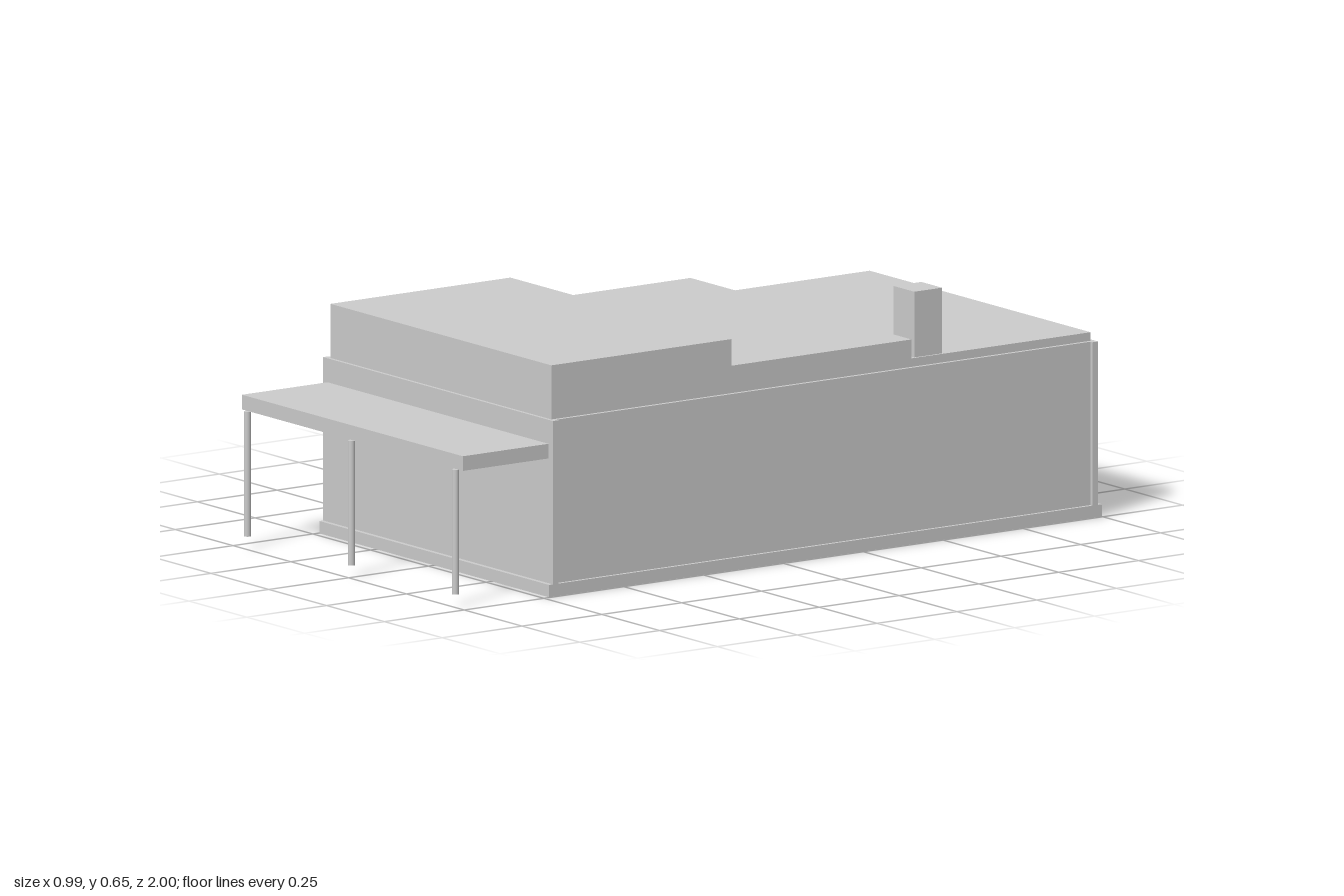
import * as THREE from 'three';

export function createModel() {
  const model = new THREE.Group();
  const material = new THREE.MeshStandardMaterial({ color: 0xcccccc });

  // Box given by its limits on each axis
  function box(name, [x0, x1], [y0, y1], [z0, z1]) {
    const mesh = new THREE.Mesh(new THREE.BoxGeometry(x1 - x0, y1 - y0, z1 - z0), material);
    mesh.position.set((x0 + x1) / 2, (y0 + y1) / 2, (z0 + z1) / 2);
    mesh.name = name;
    model.add(mesh);
  }

  // Floor slab and the four walls; the side walls sit slightly inside the end walls
  const wallY = [0.032, 0.455];
  box('floorSlab', [-0.497, 0.497], [0, 0.032], [-1, 0.732]);
  box('frontWall', [-0.497, 0.497], wallY, [0.702, 0.72]);
  box('backWall', [-0.497, 0.497], wallY, [-0.988, -0.97]);
  for (const side of [-1, 1]) {
    const xs = [side * 0.472, side * 0.488].sort((a, b) => a - b);
    box(side > 0 ? 'leftWall' : 'rightWall', xs, wallY, [-0.97, 0.702]);
  }

  // Stepped flat roof, rising towards the front
  const roofX = [-0.478, 0.478];
  box('rearRoof', roofX, [0.44, 0.477], [-0.978, -0.417]);
  box('middleRoof', roofX, [0.44, 0.526], [-0.417, 0.147]);
  box('frontRoof', roofX, [0.44, 0.595], [0.147, 0.711]);
  box('chimney', [0.382, 0.472], [0.477, 0.647], [-0.517, -0.43]);

  // Porch canopy on three round posts
  box('canopy', roofX, [0.355, 0.393], [0.72, 0.988]);
  const postGeometry = new THREE.CylinderGeometry(0.009, 0.009, 0.323, 16);
  for (const x of [-0.45, 0, 0.45]) {
    const post = new THREE.Mesh(postGeometry, material);
    post.position.set(x, 0.1935, 0.991);
    post.name = 'canopyPost';
    model.add(post);
  }
  return model;
}
